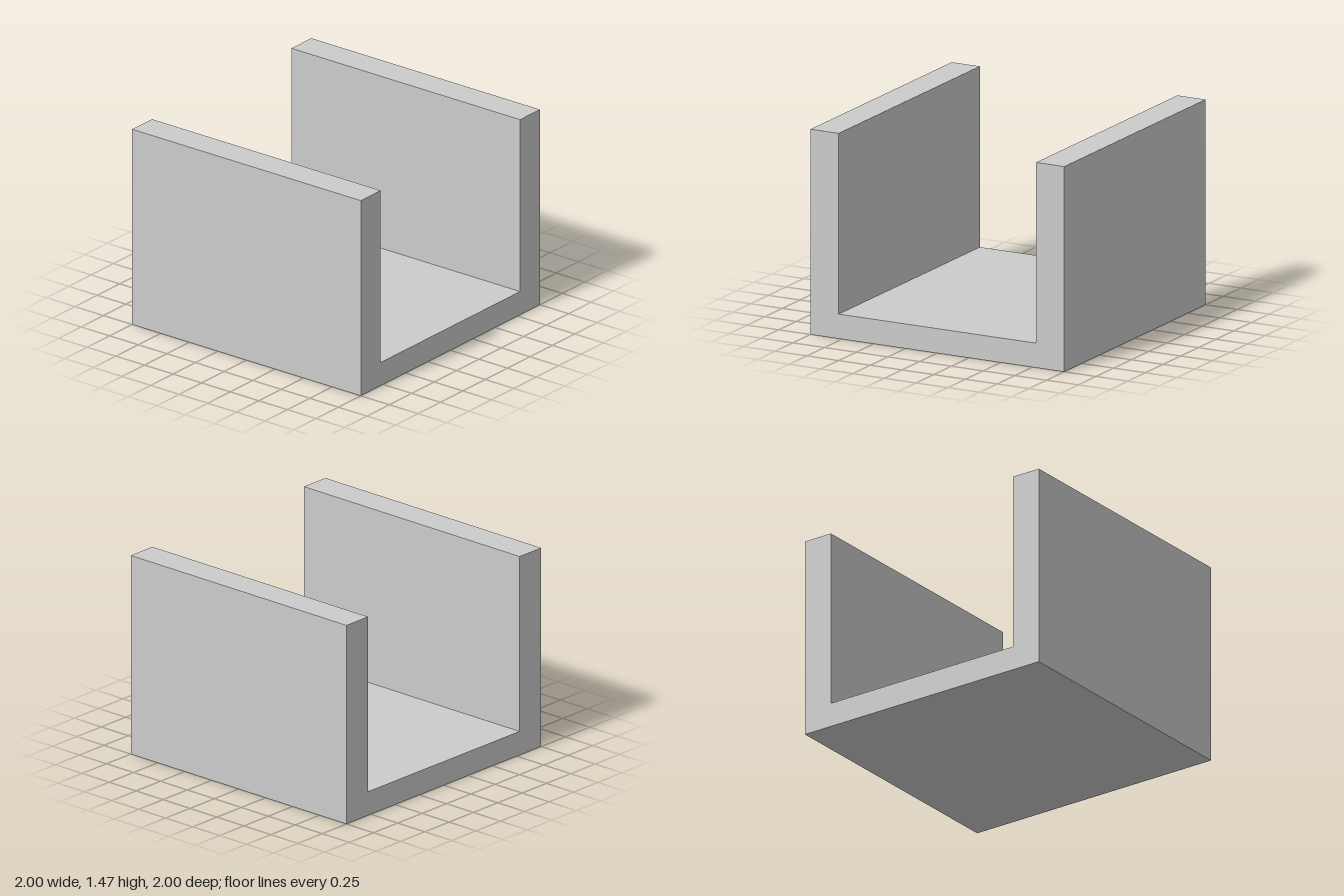
import * as THREE from 'three';

const WIDTH = 2, DEPTH = 2, HEIGHT = 1.465;
const WALL = 0.222, FLOOR = 0.175;

export function createModel() {
  const group = new THREE.Group();
  group.name = 'channel';

  // U-shaped cross-section, seen from the front
  const outer = WIDTH / 2, inner = outer - WALL;
  const profile = new THREE.Shape([
    [-outer, 0], [outer, 0], [outer, HEIGHT], [inner, HEIGHT],
    [inner, FLOOR], [-inner, FLOOR], [-inner, HEIGHT], [-outer, HEIGHT],
  ].map(([x, y]) => new THREE.Vector2(x, y)));

  // One solid body: floor with two side walls, open at front, back and top
  const geometry = new THREE.ExtrudeGeometry(profile, { depth: DEPTH, bevelEnabled: false });
  geometry.translate(0, 0, -DEPTH / 2);

  const material = new THREE.MeshStandardMaterial({ color: 0xcccccc, flatShading: true });
  const body = new THREE.Mesh(geometry, material);
  body.name = 'channelBody';
  group.add(body);
  return group;
}
